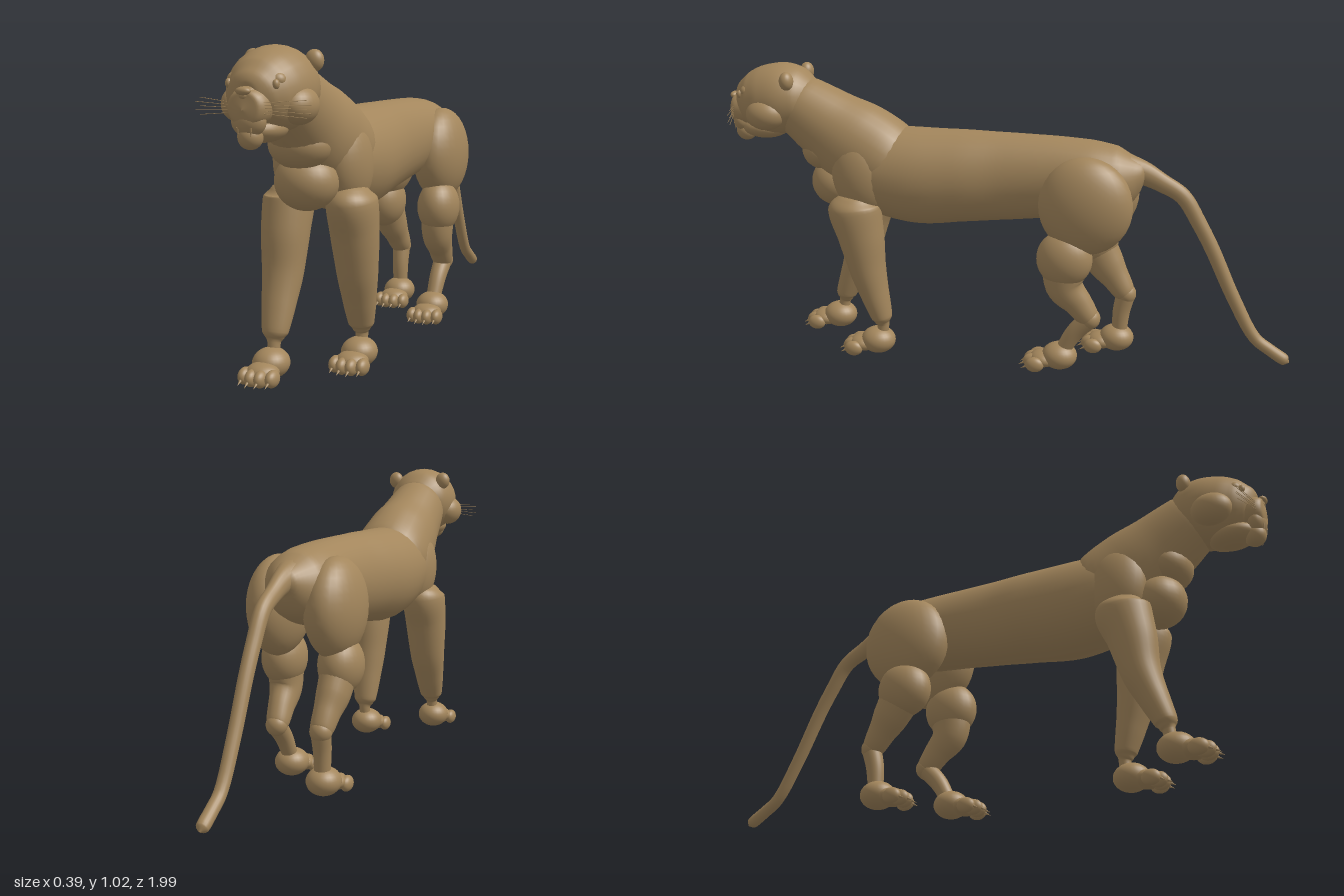
import * as THREE from 'three';

const fur = new THREE.MeshStandardMaterial({ color: 0xa3865c });
fur.name = 'tawny fur';

function add(parent, name, geometry) {
  const mesh = new THREE.Mesh(geometry, fur);
  mesh.name = name;
  parent.add(mesh);
  return mesh;
}

function ball(parent, name, [x, y, z], [rx, ry, rz], tilt = 0) {
  const mesh = add(parent, name, new THREE.SphereGeometry(1, 28, 18));
  mesh.position.set(x, y, z);
  mesh.scale.set(rx, ry, rz);
  mesh.rotation.x = tilt;
  return mesh;
}

// Smooth skin over oval sections [x, y, z, half width in x, half depth]
function loft(parent, name, sections, steps = 6, sides = 28) {
  const path = new THREE.CatmullRomCurve3(sections.map(s => new THREE.Vector3(s[0], s[1], s[2])));
  const radii = new THREE.CatmullRomCurve3(
    sections.map(s => new THREE.Vector3(s[3], s[4], 0)), false, 'catmullrom', 0.4);
  const rows = (sections.length - 1) * steps;
  const pos = [], idx = [];
  for (let i = 0; i <= rows; i++) {
    const p = path.getPoint(i / rows), t = path.getTangent(i / rows), r = radii.getPoint(i / rows);
    const len = Math.hypot(t.y, t.z) || 1;
    const rx = Math.max(r.x, 0.0005), rn = Math.max(r.y, 0.0005);
    for (let j = 0; j < sides; j++) {
      const a = (j / sides) * Math.PI * 2, s = Math.sin(a) * rn;
      pos.push(p.x + Math.cos(a) * rx, p.y + s * t.z / len, p.z - s * t.y / len);
    }
  }
  for (let i = 0; i < rows; i++) {
    for (let j = 0; j < sides; j++) {
      const a = i * sides + j, b = i * sides + (j + 1) % sides;
      idx.push(a, b, a + sides, b, b + sides, a + sides);
    }
  }
  const g = new THREE.BufferGeometry();
  g.setAttribute('position', new THREE.Float32BufferAttribute(pos, 3));
  g.setIndex(idx);
  g.computeVertexNormals();
  return add(parent, name, g);
}

// Paw: heel ball, four toes and claws
function paw(parent, x, z) {
  const g = new THREE.Group();
  g.name = 'paw';
  g.position.set(x, 0, z);
  ball(g, 'pawPad', [0, 0.056, 0], [0.058, 0.048, 0.062]);
  ball(g, 'pawBridge', [0, 0.042, 0.055], [0.052, 0.03, 0.05]);
  for (let i = 0; i < 4; i++) {
    const tx = -0.046 + i * 0.0307, tz = i === 0 || i === 3 ? 0.08 : 0.094;
    ball(g, 'toe', [tx, 0.032, tz], [0.02, 0.027, 0.033]);
    const claw = add(g, 'claw', new THREE.ConeGeometry(0.006, 0.03, 8));
    claw.position.set(tx, 0.021, tz + 0.037);
    claw.rotation.x = Math.PI / 2 + 0.5;
  }
  parent.add(g);
}

function buildBody(root) {
  loft(root, 'torso', [
    [0, 0.66, 0.62, 0.001, 0.001], [0, 0.665, 0.6, 0.07, 0.07], [0, 0.67, 0.53, 0.125, 0.125],
    [0, 0.66, 0.42, 0.148, 0.16], [0, 0.65, 0.3, 0.153, 0.17], [0, 0.658, 0.15, 0.142, 0.162],
    [0, 0.665, 0, 0.124, 0.153], [0, 0.672, -0.15, 0.122, 0.143], [0, 0.675, -0.3, 0.13, 0.132],
    [0, 0.685, -0.4, 0.105, 0.106], [0, 0.695, -0.47, 0.05, 0.05], [0, 0.69, -0.5, 0.001, 0.001]]);
  loft(root, 'neck', [
    [0, 0.65, 0.33, 0.1, 0.09], [0, 0.69, 0.42, 0.142, 0.148], [0, 0.75, 0.53, 0.136, 0.155],
    [0, 0.82, 0.64, 0.118, 0.13], [0, 0.88, 0.73, 0.105, 0.11], [0, 0.92, 0.79, 0.08, 0.08]]);
  ball(root, 'throat', [0, 0.73, 0.645], [0.1, 0.075, 0.085]);
  ball(root, 'chest', [0, 0.615, 0.605], [0.1, 0.09, 0.095]);
  loft(root, 'tail', [
    [0, 0.72, -0.4, 0.07, 0.055], [0, 0.705, -0.47, 0.036, 0.042], [0, 0.672, -0.54, 0.026, 0.032],
    [0, 0.63, -0.61, 0.025, 0.028], [0, 0.54, -0.668, 0.024, 0.026], [0, 0.45, -0.717, 0.023, 0.025],
    [0, 0.28, -0.797, 0.022, 0.023], [0, 0.14, -0.877, 0.021, 0.021], [0, 0.1, -0.93, 0.021, 0.021],
    [0, 0.067, -0.982, 0.02, 0.02], [0, 0.058, -0.998, 0.001, 0.001]], 5, 18);
}

function buildHead(root) {
  const head = new THREE.Group();
  head.name = 'head';
  root.add(head);
  loft(head, 'skull', [
    [0, 0.91, 0.665, 0.001, 0.001], [0, 0.91, 0.685, 0.07, 0.066], [0, 0.908, 0.73, 0.11, 0.108],
    [0, 0.905, 0.79, 0.124, 0.124], [0, 0.897, 0.85, 0.118, 0.121], [0, 0.89, 0.9, 0.1, 0.106],
    [0, 0.885, 0.935, 0.075, 0.08], [0, 0.88, 0.96, 0.035, 0.045], [0, 0.88, 0.967, 0.001, 0.001]]);
  loft(head, 'muzzle', [
    [0, 0.875, 0.86, 0.07, 0.07], [0, 0.866, 0.92, 0.065, 0.062], [0, 0.86, 0.96, 0.06, 0.056],
    [0, 0.858, 0.982, 0.045, 0.046], [0, 0.858, 0.99, 0.001, 0.001]]);
  ball(head, 'noseBridge', [0, 0.905, 0.945], [0.032, 0.022, 0.045], 0.35);
  ball(head, 'nose', [0, 0.908, 0.982], [0.023, 0.012, 0.014]);
  ball(head, 'upperLip', [0, 0.825, 0.953], [0.052, 0.045, 0.034]);
  ball(head, 'chin', [0, 0.782, 0.945], [0.036, 0.037, 0.037]);
  ball(head, 'jaw', [0, 0.798, 0.87], [0.066, 0.04, 0.085]);

  for (const s of [1, -1]) {
    ball(head, 'cheek', [s * 0.092, 0.862, 0.83], [0.053, 0.055, 0.07]);
    ball(head, 'ear', [s * 0.098, 0.983, 0.745], [0.028, 0.032, 0.024]);
    ball(head, 'eye', [s * 0.073, 0.925, 0.931], [0.01, 0.014, 0.011]);
    ball(head, 'brow', [s * 0.062, 0.935, 0.905], [0.028, 0.024, 0.025]);
    // Whiskers fan out and sweep back
    for (let i = 0; i < 5; i++) {
      const y = 0.848 + i * 0.007;
      const line = new THREE.LineCurve3(
        new THREE.Vector3(s * 0.045, y, 0.97),
        new THREE.Vector3(s * (0.165 + (i % 2) * 0.015), 0.836 + i * 0.012, 0.932));
      add(head, 'whisker', new THREE.TubeGeometry(line, 1, 0.0009, 5));
    }
    const fang = add(head, 'fang', new THREE.ConeGeometry(0.005, 0.026, 8));
    fang.position.set(s * 0.02, 0.797, 0.979);
    fang.rotation.x = Math.PI;
  }
}

// stride: how far the lower leg swings forward or back
function buildFrontLeg(root, s, midZ, ankleZ) {
  const leg = new THREE.Group();
  leg.name = s > 0 ? 'leftFrontLeg' : 'rightFrontLeg';
  root.add(leg);
  ball(leg, 'shoulder', [s * 0.085, 0.66, 0.49], [0.072, 0.14, 0.105], 0.15);
  const lerp = t => midZ + (ankleZ - midZ) * t;
  loft(leg, 'limb', [
    [s * 0.1, 0.605, 0.515, 0.02, 0.02], [s * 0.106, 0.585, 0.515, 0.05, 0.062],
    [s * 0.107, 0.55, 0.514, 0.077, 0.094], [s * 0.107, 0.45, (0.515 + midZ) / 2, 0.076, 0.082],
    [s * 0.106, 0.32, midZ, 0.066, 0.064], [s * 0.103, 0.22, lerp(0.5), 0.054, 0.049],
    [s * 0.1, 0.145, lerp(0.9), 0.042, 0.037], [s * 0.1, 0.128, lerp(0.95), 0.03, 0.027],
    [s * 0.1, 0.115, ankleZ, 0.021, 0.021], [s * 0.1, 0.07, ankleZ + 0.005, 0.02, 0.02]]);
  paw(leg, s * 0.1, ankleZ + 0.02);
}

function buildHindLeg(root, s, calf, knee, heel, foot) {
  const leg = new THREE.Group();
  leg.name = s > 0 ? 'leftHindLeg' : 'rightHindLeg';
  root.add(leg);
  ball(leg, 'thigh', [s * 0.102, 0.605, -0.295], [0.092, 0.168, 0.16]);
  ball(leg, 'calf', [s * 0.117, calf[0], calf[1]], [0.074, 0.098, 0.096]);
  loft(leg, 'shank', [
    [s * 0.115, calf[0], calf[1], 0.06, 0.08], [s * 0.113, knee[0], knee[1], 0.054, 0.066],
    [s * 0.108, (knee[0] + heel[0]) / 2, (knee[1] + heel[1]) / 2, 0.044, 0.05],
    [s * 0.104, heel[0], heel[1], 0.036, 0.036],
    [s * 0.104, heel[0] - 0.02, heel[1] - 0.025, 0.001, 0.001]]);
  ball(leg, 'heel', [s * 0.104, heel[0], heel[1]], [0.037, 0.038, 0.036]);
  loft(leg, 'hock', [
    [s * 0.104, heel[0], heel[1], 0.034, 0.034],
    [s * 0.102, (heel[0] + 0.09) / 2, (heel[1] + foot) / 2, 0.03, 0.031],
    [s * 0.1, 0.075, foot - 0.01, 0.026, 0.026]]);
  paw(leg, s * 0.1, foot);
}

export function createModel() {
  const root = new THREE.Group();
  root.name = 'bigCat';
  buildBody(root);
  buildHead(root);
  // Walking stance: left fore back, right fore ahead, left hind ahead, right hind back
  buildFrontLeg(root, 1, 0.472, 0.425);
  buildFrontLeg(root, -1, 0.565, 0.64);
  buildHindLeg(root, 1, [0.42, -0.23], [0.32, -0.232], [0.205, -0.32], -0.215);
  buildHindLeg(root, -1, [0.42, -0.29], [0.33, -0.345], [0.225, -0.42], -0.39);
  return root;
}
